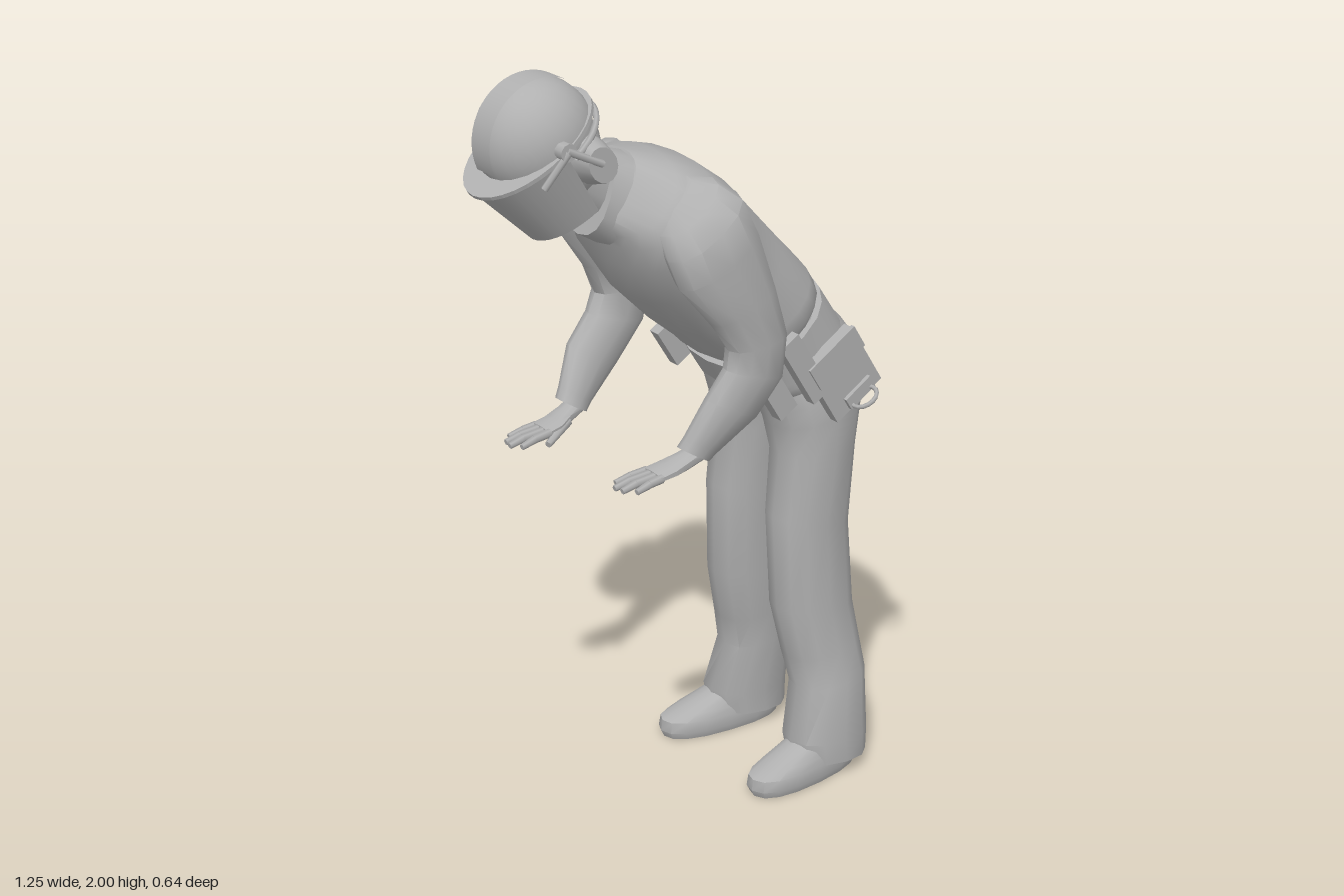
import * as THREE from 'three';
import { toCreasedNormals } from 'three/addons/utils/BufferGeometryUtils.js';

const grey = new THREE.MeshStandardMaterial({ color: 0xb0b0b0, side: THREE.DoubleSide });
grey.name = 'plain grey';

// Closed loft. Each section: [front x, front y, back x, back y, centre z, half width z]
function loft(sections, n = 14, power = 0.85, crease = 0.75) {
  const pos = [], idx = [];
  const sp = (v) => Math.sign(v) * Math.pow(Math.abs(v), power);
  const mid = sections.map(([a, b, c, d, z]) => [(a + c) / 2, (b + d) / 2, z]);
  sections.forEach(([fx, fy, bx, by, z, rz], i) => {
    for (let j = 0; j < n; j++) {
      const t = (j / n) * Math.PI * 2, c = sp(Math.cos(t));
      pos.push(mid[i][0] + c * (bx - fx) / 2, mid[i][1] + c * (by - fy) / 2, z + sp(Math.sin(t)) * rz);
    }
  });
  // winding depends on which way the path runs through its sections
  const m = sections.length - 1;
  let dot = 0;
  sections.forEach(([fx, fy, bx, by], i) => {
    if (i < m) dot += -(by - fy) * (mid[i + 1][0] - mid[i][0]) + (bx - fx) * (mid[i + 1][1] - mid[i][1]);
  });
  const tri = (a, b, c) => (dot > 0 ? idx.push(a, b, c) : idx.push(a, c, b));
  for (let i = 0; i < m; i++) {
    for (let j = 0; j < n; j++) {
      const a = i * n + j, b = i * n + (j + 1) % n;
      tri(a, a + n, b);
      tri(b, a + n, b + n);
    }
  }
  const c0 = pos.length / 3;
  pos.push(...mid[0], ...mid[m]);
  for (let j = 0; j < n; j++) {
    const k = (j + 1) % n;
    tri(c0, j, k);
    tri(c0 + 1, m * n + k, m * n + j);
  }
  const g = new THREE.BufferGeometry();
  g.setAttribute('position', new THREE.Float32BufferAttribute(pos, 3));
  g.setIndex(idx);
  return toCreasedNormals(g, crease);
}

function add(parent, name, geo, p = [0, 0, 0], r = [0, 0, 0]) {
  const mesh = new THREE.Mesh(geo, grey);
  mesh.name = name;
  mesh.position.set(...p);
  mesh.rotation.set(...r);
  parent.add(mesh);
  return mesh;
}

// Round rod between two points
function rod(parent, name, a, b, r0, r1, sides = 8) {
  const A = new THREE.Vector3(...a), B = new THREE.Vector3(...b), d = B.clone().sub(A);
  const mesh = add(parent, name, new THREE.CylinderGeometry(r1, r0, d.length(), sides));
  mesh.position.copy(A).add(B).multiplyScalar(0.5);
  mesh.quaternion.setFromUnitVectors(new THREE.Vector3(0, 1, 0), d.normalize());
}

function buildHead() {
  const head = new THREE.Group();
  head.name = 'head';
  head.position.set(-0.45, 1.85, 0);
  head.rotation.z = 0.585;
  add(head, 'face', new THREE.SphereGeometry(1, 18, 14), [0.01, -0.06, 0]).scale.set(0.128, 0.14, 0.105);
  add(head, 'nose', new THREE.ConeGeometry(0.02, 0.05, 6), [-0.122, -0.075, 0]);
  add(head, 'jaw', new THREE.SphereGeometry(1, 12, 8), [-0.05, -0.15, 0]).scale.set(0.07, 0.05, 0.065);
  // helmet dome, centre ridge and a brim that is broad only in front
  add(head, 'helmetDome', new THREE.SphereGeometry(0.147, 24, 10, 0, Math.PI * 2, 0, Math.PI * 0.54))
    .scale.z = 0.94;
  add(head, 'helmetRidge', new THREE.CylinderGeometry(0.15, 0.15, 0.075, 18, 1, true, Math.PI * 0.68, Math.PI * 0.77)
    .rotateX(Math.PI / 2));
  const brim = new THREE.Shape();
  brim.absellipse(-0.022, 0, 0.184, 0.146, 0, Math.PI * 2);
  const hole = new THREE.Path();
  hole.absellipse(0, 0, 0.14, 0.13, 0, Math.PI * 2, true);
  brim.holes.push(hole);
  add(head, 'helmetBrim', new THREE.ExtrudeGeometry(brim, { depth: 0.01, bevelEnabled: false, curveSegments: 16 })
    .rotateX(Math.PI / 2), [0, 0.006, 0]);
  // curved shield over the face
  add(head, 'faceShield', new THREE.CylinderGeometry(0.198, 0.148, 0.2, 18, 1, true, Math.PI * 1.02, Math.PI * 0.96),
    [0, -0.1, 0]).scale.z = 0.73;
  for (const s of [1, -1]) {
    add(head, 'earCup', new THREE.CylinderGeometry(0.038, 0.052, 0.05, 14).rotateX(s * Math.PI / 2),
      [0.04, -0.075, s * 0.145]).scale.y = 1.25;
    add(head, 'earCushion', new THREE.TorusGeometry(0.038, 0.015, 6, 14), [0.04, -0.075, s * 0.114]).scale.y = 1.2;
    add(head, 'shieldPivot', new THREE.CylinderGeometry(0.022, 0.022, 0.03, 10).rotateX(Math.PI / 2),
      [-0.01, 0.01, s * 0.146]);
    rod(head, 'earCupArm', [-0.01, 0.015, s * 0.16], [0.04, -0.07, s * 0.172], 0.009, 0.009, 6);
    rod(head, 'shieldArm', [-0.01, 0.01, s * 0.16], [-0.1, -0.03, s * 0.135], 0.009, 0.009, 6);
  }
  // strap round the back of the helmet
  add(head, 'backBand', new THREE.TorusGeometry(0.152, 0.008, 6, 18, Math.PI).rotateZ(-Math.PI / 2).rotateX(Math.PI / 2),
    [0, -0.02, 0]).scale.z = 0.98;
  return head;
}

function buildLeg(s) {
  const leg = new THREE.Group();
  leg.name = s > 0 ? 'leftLeg' : 'rightLeg';
  add(leg, 'trouserLeg', loft([
    [0.215, 0.05, 0.432, 0.035, 0.174, 0.09], [0.2, 0.11, 0.435, 0.1, 0.174, 0.09],
    [0.235, 0.25, 0.437, 0.28, 0.156, 0.088], [0.213, 0.34, 0.425, 0.37, 0.145, 0.085],
    [0.18, 0.49, 0.41, 0.47, 0.134, 0.085], [0.17, 0.75, 0.395, 0.7, 0.126, 0.086],
    [0.19, 0.92, 0.41, 0.92, 0.122, 0.098], [0.175, 1.0, 0.432, 1.05, 0.114, 0.108],
    [0.155, 1.05, 0.443, 1.13, 0.108, 0.112], [0.14, 1.08, 0.425, 1.2, 0.104, 0.1],
  ].map(([a, b, c, d, z, w]) => [a, b, c, d, z * s, w]), 12));
  // shoe with a flat sole, toes turned slightly out
  add(leg, 'shoe', loft([
    [0.06, 0, 0.415, 0, 0, 0.066], [0.05, 0.02, 0.42, 0.02, 0, 0.073], [0.055, 0.05, 0.42, 0.05, 0, 0.07],
    [0.1, 0.068, 0.415, 0.075, 0, 0.064], [0.2, 0.1, 0.41, 0.1, 0, 0.056], [0.24, 0.14, 0.4, 0.14, 0, 0.05],
  ], 16).translate(-0.32, 0, 0), [0.32, 0, s * 0.174], [0, s * 0.1, 0]);
  return leg;
}

function buildArm(s) {
  const arm = new THREE.Group();
  arm.name = s > 0 ? 'leftArm' : 'rightArm';
  const reach = s > 0 ? 0 : -0.06; // the right forearm reaches further forward
  add(arm, 'sleeve', loft([
    [-0.215, 1.66, -0.13, 1.735, 0.165, 0.04], [-0.235, 1.615, -0.08, 1.73, 0.195, 0.07],
    [-0.235, 1.56, -0.035, 1.695, 0.228, 0.08],
    [-0.215, 1.49, 0.005, 1.605, 0.245, 0.072], [-0.13, 1.385, 0.05, 1.46, 0.257, 0.06],
    [-0.08, 1.31, 0.085, 1.33, 0.262, 0.056], [-0.085, 1.26, 0.075, 1.215, 0.26, 0.053],
    [-0.135, 1.19, 0.005, 1.12, 0.25, 0.047], [-0.18, 1.095, -0.095, 1.04, 0.225, 0.036],
    [-0.195, 1.07, -0.115, 1.02, 0.218, 0.035],
  ].map(([a, b, c, d, z, w], i) => {
    const k = reach * Math.min(1, Math.max(0, (i - 3.5) / 3.5));
    return [a + k, b, c + k, d, z * s, w];
  }), 12, 0.92));
  const hand = new THREE.Group();
  hand.name = 'hand';
  hand.position.x = reach;
  add(hand, 'palm', loft([
    [-0.12, 1.03, -0.15, 1.065, 0.216, 0.027], [-0.175, 1.01, -0.185, 1.048, 0.208, 0.032],
    [-0.22, 1.0, -0.22, 1.033, 0.2, 0.04], [-0.265, 0.998, -0.265, 1.022, 0.197, 0.041],
  ].map(([a, b, c, d, z, w]) => [a, b, c, d, z * s, w]), 10));
  const tips = [-0.345, -0.365, -0.36, -0.335];
  tips.forEach((x, i) => {
    const z = 0.167 + i * 0.02, zt = 0.158 + i * 0.025;
    rod(hand, 'finger', [-0.255, 1.01, s * z], [x + 0.04, 1.006, s * (z + zt) / 2], 0.012, 0.0105, 6);
    rod(hand, 'fingertip', [x + 0.042, 1.006, s * (z + zt) / 2], [x, 0.997, s * zt], 0.0105, 0.008, 6);
  });
  rod(hand, 'thumb', [-0.19, 1.02, s * 0.185], [-0.275, 0.99, s * 0.145], 0.015, 0.009, 6);
  arm.add(hand);
  return arm;
}

function buildBeltKit() {
  const kit = new THREE.Group();
  kit.name = 'beltKit';
  const tilt = 0.56;
  const box = (name, x, y, z, w, h, d, r = tilt) => add(kit, name, new THREE.BoxGeometry(w, h, d), [x, y, z], [0, 0, r]);
  box('buckle', 0.348, 1.318, 0, 0.016, 0.11, 0.055);
  // left side pouches and ring holder
  box('largePouch', 0.3, 1.15, 0.23, 0.165, 0.19, 0.03);
  box('largePouchFlap', 0.27, 1.205, 0.246, 0.165, 0.07, 0.012);
  box('slimPouch', 0.175, 1.195, 0.23, 0.06, 0.2, 0.032);
  box('smallPouch', 0.1, 1.135, 0.22, 0.06, 0.11, 0.036);
  box('ringTab', 0.345, 1.095, 0.25, 0.09, 0.035, 0.012);
  add(kit, 'ringHolder', new THREE.TorusGeometry(0.035, 0.006, 6, 16).rotateX(Math.PI / 2), [0.35, 1.085, 0.262], [0, 0, tilt]);
  // right side holders and baton
  box('rearPouch', 0.3, 1.17, -0.234, 0.13, 0.16, 0.03);
  box('middlePouch', 0.2, 1.19, -0.24, 0.07, 0.19, 0.034);
  box('frontPouch', 0.12, 1.14, -0.234, 0.07, 0.12, 0.034);
  box('batonHolder', 0.335, 1.135, -0.27, 0.1, 0.03, 0.03, -0.72);
  rod(kit, 'batonShaft', [0.29, 1.175, -0.29], [0.46, 1.022, -0.287], 0.013, 0.013);
  rod(kit, 'batonGrip', [0.435, 1.044, -0.287], [0.615, 0.883, -0.289], 0.017, 0.02, 10);
  return kit;
}

export function createModel() {
  const model = new THREE.Group();
  model.name = 'bendingWorker';
  // jacket, bent forward at the waist, broad across the shoulders
  add(model, 'jacket', loft([
    [0.065, 1.18, 0.3, 1.365, 0, 0.205], [0.025, 1.2, 0.305, 1.385, 0, 0.222],
    [0.0, 1.225, 0.28, 1.425, 0, 0.225], [-0.08, 1.29, 0.2, 1.51, 0, 0.218],
    [-0.19, 1.4, 0.115, 1.6, 0, 0.235], [-0.25, 1.5, 0.035, 1.68, 0, 0.262],
    [-0.272, 1.56, -0.05, 1.742, 0, 0.25], [-0.285, 1.585, -0.13, 1.767, 0, 0.19],
    [-0.31, 1.61, -0.205, 1.778, 0, 0.105],
  ], 22));
  add(model, 'collar', loft([
    [-0.28, 1.555, -0.2, 1.772, 0, 0.112], [-0.335, 1.588, -0.265, 1.793, 0, 0.088],
  ], 16));
  add(model, 'neck', loft([
    [-0.32, 1.63, -0.255, 1.775, 0, 0.07], [-0.42, 1.69, -0.315, 1.82, 0, 0.07],
  ]));
  add(model, 'trouserSeat', loft([
    [0.18, 1.06, 0.41, 1.12, 0, 0.14], [0.15, 1.065, 0.438, 1.16, 0, 0.205],
    [0.125, 1.08, 0.445, 1.2, 0, 0.22], [0.11, 1.09, 0.425, 1.235, 0, 0.218],
    [0.1, 1.105, 0.385, 1.275, 0, 0.212], [0.065, 1.18, 0.3, 1.365, 0, 0.2],
  ], 20));
  add(model, 'belt', loft([
    [0.095, 1.1, 0.392, 1.265, 0, 0.22], [0.052, 1.17, 0.322, 1.37, 0, 0.218],
  ], 20));
  for (const s of [1, -1]) model.add(buildLeg(s), buildArm(s));
  model.add(buildBeltKit(), buildHead());
  return model;
}
